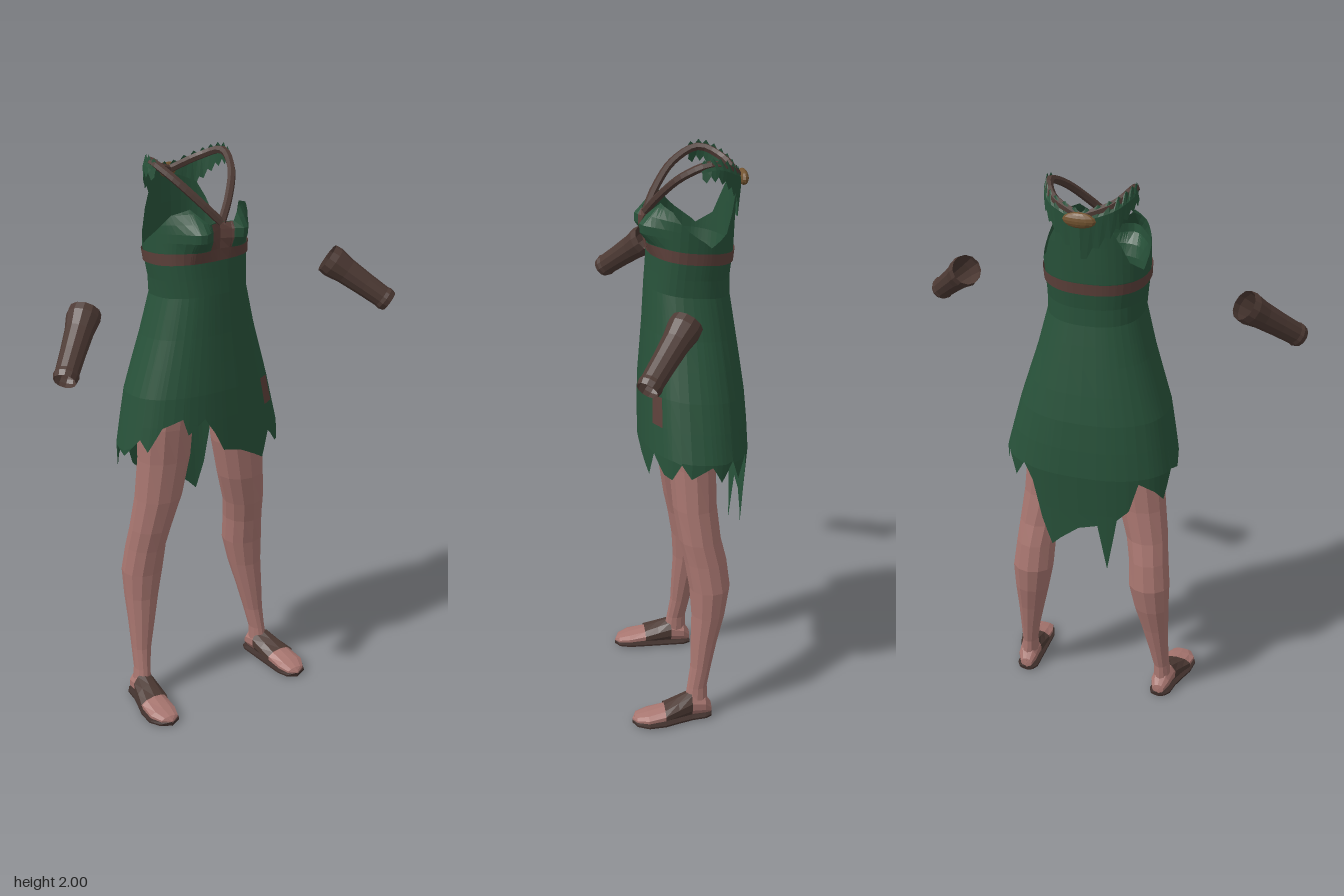
import * as THREE from 'three';

const mat = (name, color) => new THREE.MeshStandardMaterial({ name, color, flatShading: true, side: THREE.DoubleSide });
const GREEN = mat('dress green', 0x28523a);
const SKIN = mat('skin', 0xa87670);
const LEATHER = mat('dark leather', 0x4d3a34);
const TRIM = mat('brown trim', 0x5c403a);
const SOLE = mat('sole', 0x3e2e2a);
const OCHRE = mat('ochre clasp', 0x735430);

function add(parent, geometry, material, name) {
  const m = new THREE.Mesh(geometry, material);
  m.name = name;
  parent.add(m);
  return m;
}

// Skin a list of equally long rows of points
function grid(rows) {
  const n = rows[0].length, idx = [];
  for (let r = 0; r < rows.length - 1; r++) {
    for (let c = 0; c < n - 1; c++) {
      const a = r * n + c, d = a + n;
      idx.push(a, d, d + 1, a, d + 1, a + 1);
    }
  }
  const g = new THREE.BufferGeometry();
  g.setAttribute('position', new THREE.Float32BufferAttribute(rows.flat(2), 3));
  g.setIndex(idx);
  const flat = g.toNonIndexed();
  flat.computeVertexNormals();
  return flat;
}

const circle = (n, f) => Array.from({ length: n + 1 }, (_, i) => f(Math.sin(i / n * 2 * Math.PI), Math.cos(i / n * 2 * Math.PI)));

// Horizontal rings: [y, centre x, centre z, radius x, radius z]
const limb = (rings, n = 12) => grid(rings.map(([y, cx, cz, rx, rz]) => circle(n, (s, c) => [cx + rx * s, y, cz + rz * c])));

// Piecewise linear lookup in rows sorted by their first entry
function lookup(table, t) {
  let i = 1;
  while (i < table.length - 1 && table[i][0] < t) i++;
  const a = table[i - 1], b = table[i];
  const k = THREE.MathUtils.clamp((t - a[0]) / (b[0] - a[0]), 0, 1);
  return a.map((v, j) => v + (b[j] - v) * k);
}

// Dress sections: y, centre x, half width, front z, back z
const SECTIONS = [
  [0.60, 0, 0.30, 0.15, -0.20], [0.80, 0, 0.305, 0.15, -0.212], [1.00, 0, 0.305, 0.15, -0.23],
  [1.20, -0.01, 0.262, 0.145, -0.215], [1.40, -0.01, 0.20, 0.13, -0.185], [1.55, -0.01, 0.162, 0.122, -0.162],
  [1.68, -0.015, 0.176, 0.11, -0.178], [1.80, -0.01, 0.18, 0.10, -0.182], [1.95, -0.01, 0.16, 0.07, -0.19],
];
// Torn hem and neckline: degrees from the front (towards +x), y
const HEM = [
  [-180, 0.77], [-170, 0.79], [-164, 0.61], [-157, 0.82], [-148, 0.86], [-140, 0.97], [-125, 0.93], [-115, 0.89],
  [-104, 1.0], [-90, 0.98], [-72, 1.06], [-62, 1.02], [-50, 1.11], [-32, 1.14], [-27, 1.08], [-14, 1.13],
  [-7, 1.07], [-2, 1.0], [8, 0.98], [28, 0.92], [36, 1.01], [50, 0.95], [60, 0.94], [70, 1.0], [80, 0.95],
  [96, 0.99], [106, 0.93], [118, 1.0], [130, 0.92], [142, 0.99], [150, 0.93], [157, 0.78], [164, 0.68], [180, 0.77],
];
const TOP = [[0, 1.8], [12, 1.8], [30, 1.85], [55, 1.83], [80, 1.77], [105, 1.71], [130, 1.75], [150, 1.86], [180, 1.9]];
const LEVELS = [1.95, 1.89, 1.85, 1.82, 1.79, 1.76, 1.73, 1.695, 1.655, 1.6, 1.54, 1.47, 1.4, 1.3, 1.2, 1.1, 1.0, 0.85, 0.5];
const COLUMNS = [...new Set([
  ...HEM.map(h => h[0]), ...TOP.flatMap(t => [t[0], -t[0]]),
  ...Array.from({ length: 37 }, (_, i) => i * 10 - 180),
])].sort((a, b) => a - b);

// Point on the dress at an angle and level, pushed out by off
function dressPoint(deg, level, off = 0) {
  const a = deg * Math.PI / 180, top = lookup(TOP, Math.abs(deg))[1], hem = lookup(HEM, deg)[1];
  const y = THREE.MathUtils.clamp(level + 0.018 * Math.cos(a), hem, top);
  const [, cx, rx, zf, zb] = lookup(SECTIONS, y);
  const full = v => Math.sign(v) * Math.abs(v) ** 0.85;
  const x = (rx + off) * full(Math.sin(a));
  let z = (zf + zb) / 2 + ((zf - zb) / 2 + off) * full(Math.cos(a));
  if (Math.cos(a) > 0) z += 0.055 * Math.exp(-(((Math.abs(x) - 0.08) / 0.05) ** 2) - ((y - 1.765) / 0.05) ** 2);
  return [cx + x, y, z];
}
const dressPatch = (from, to, high, low, off) => {
  const cols = COLUMNS.filter(d => d >= from && d <= to);
  return grid(LEVELS.filter(l => l <= high && l >= low).map(l => cols.map(d => dressPoint(d, l, off))));
};

// Foot sections: z, centre x, half width, top y
const FOOT = [
  [-0.075, 0.262, 0, 0.03], [-0.072, 0.262, 0.022, 0.05], [-0.05, 0.264, 0.035, 0.085], [0, 0.268, 0.038, 0.10],
  [0.05, 0.276, 0.045, 0.08], [0.1, 0.285, 0.053, 0.06], [0.16, 0.288, 0.054, 0.046], [0.2, 0.284, 0.036, 0.035],
  [0.215, 0.282, 0, 0.02],
];
const footLoft = (side, rows, grow, flatTop) => grid(rows.map(([z, cx, w, top]) => {
  const low = flatTop ? 0 : 0.012, high = flatTop || top + grow;
  return circle(10, (s, c) => [side * cx + (w ? w + grow : 0) * s, (high + low) / 2 + (high - low) / 2 * c, z]);
}));

const LEG = [
  [1.2, 0.14, -0.02, 0.1, 0.1], [1.08, 0.15, -0.02, 0.1, 0.095], [0.95, 0.155, -0.02, 0.097, 0.082], [0.8, 0.177, -0.025, 0.087, 0.077],
  [0.68, 0.202, -0.04, 0.076, 0.073], [0.6, 0.213, -0.058, 0.072, 0.074], [0.5, 0.221, -0.072, 0.075, 0.072],
  [0.4, 0.23, -0.066, 0.063, 0.06], [0.3, 0.241, -0.05, 0.049, 0.048], [0.2, 0.252, -0.037, 0.036, 0.038],
  [0.12, 0.26, -0.022, 0.028, 0.036], [0.06, 0.264, -0.018, 0.032, 0.042],
];

export function createModel() {
  const model = new THREE.Group();
  model.name = 'figure';

  // Dress with under-bust band, centre trim and a worn patch
  add(model, dressPatch(-180, 180, 2, 0, 0), GREEN, 'dress');
  add(model, dressPatch(-180, 180, 1.7, 1.65, 0.005), TRIM, 'bustBand');
  add(model, dressPatch(-10, 10, 1.8, 1.65, 0.006), TRIM, 'centreTrim');
  add(model, dressPatch(36, 50, 1.2, 1.1, 0.004), TRIM, 'wornPatch');

  // Hips under the dress
  add(model, limb([
    [1.5, -0.01, -0.02, 0, 0], [1.5, -0.01, -0.02, 0.135, 0.115], [1.35, -0.005, -0.025, 0.17, 0.125],
    [1.2, 0, -0.025, 0.21, 0.135], [1.12, 0, -0.02, 0.15, 0.1], [1.07, 0, -0.02, 0, 0],
  ]), SKIN, 'hips');

  for (const side of [1, -1]) {
    const label = side > 0 ? 'left' : 'right';

    // Leg and sandal
    add(model, limb(LEG.map(([y, x, ...rest]) => [y, x * side, ...rest])), SKIN, label + 'Leg');
    add(model, footLoft(side, FOOT, 0), SKIN, label + 'Foot');
    add(model, footLoft(side, FOOT.slice(3, 6), 0.005), LEATHER, label + 'SandalStrap');
    add(model, footLoft(side, FOOT, 0.006, 0.02), SOLE, label + 'SandalSole');

    // Forearm bracer, wide at the elbow
    const elbow = new THREE.Vector3(0.492 * side, 1.572, 0.05), wrist = new THREE.Vector3(0.658 * side, 1.42, 0.198);
    const dir = wrist.clone().sub(elbow), len = dir.length();
    const profile = [[0.053, 0], [0.056, 0.1], [0.047, 0.3], [0.042, 0.6], [0.039, 0.88], [0.042, 0.93], [0.037, 1]];
    const bracer = add(model, new THREE.LatheGeometry(profile.map(([r, t]) => new THREE.Vector2(r, t * len)), 12), LEATHER, label + 'Bracer');
    bracer.position.copy(elbow);
    bracer.quaternion.setFromUnitVectors(new THREE.Vector3(0, 1, 0), dir.normalize());

    // Halter strap round the neck
    const path = new THREE.CatmullRomCurve3([
      [0, 1.8, 0.115], [0.055, 1.865, 0.075], [0.115, 1.94, 0.005], [0.14, 1.98, -0.085], [0.1, 1.95, -0.16], [0, 1.91, -0.195],
    ].map(([x, y, z]) => new THREE.Vector3(x * side - 0.008, y, z)));
    add(model, new THREE.TubeGeometry(path, 20, 0.014, 6), LEATHER, label + 'HalterStrap');

    // Ragged collar cloth hanging from the strap
    const rows = [[], [], []];
    for (let i = 0; i <= 16; i++) {
      const k = i / 16, p = path.getPoint(0.5 + 0.5 * k), jag = i % 2;
      const drop = 0.03 + 0.11 * k * k + 0.02 * jag;
      rows[0].push([p.x * 1.06, p.y + 0.008 + 0.016 * jag, p.z - 0.004]);
      rows[1].push([p.x * 1.1, p.y - 0.015, p.z - 0.014]);
      rows[2].push([p.x * 1.12, p.y - drop, p.z - 0.012 + 0.01 * k]);
    }
    add(model, grid(rows), GREEN, label + 'Collar');
  }

  // Clasp at the nape
  const clasp = add(model, new THREE.SphereGeometry(1, 12, 8), OCHRE, 'neckClasp');
  clasp.scale.set(0.056, 0.026, 0.017);
  clasp.position.set(-0.01, 1.905, -0.213);

  return model;
}
